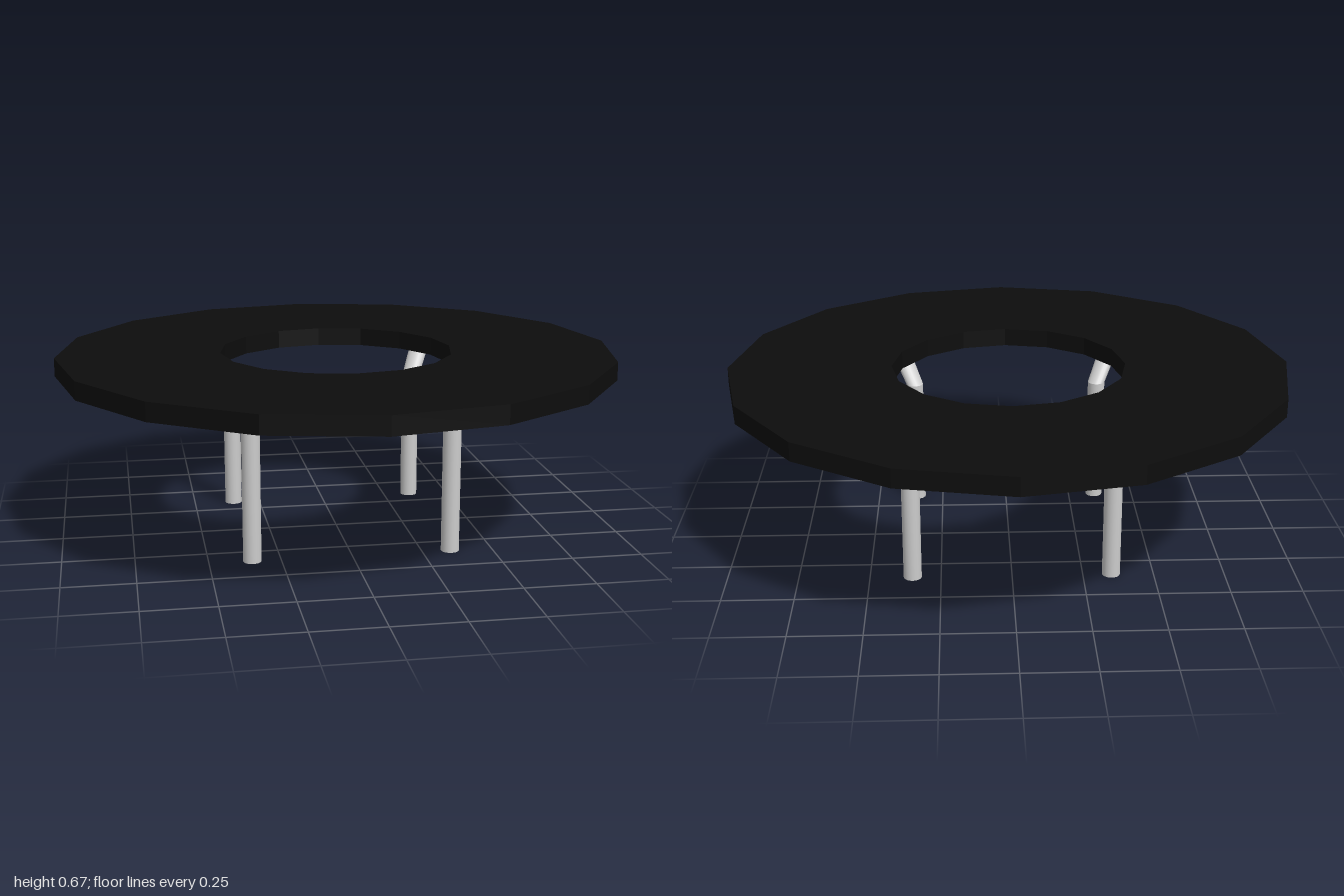
import * as THREE from 'three';

const SIDES = 20;
const BEND_Y = 0.472, RING_BOTTOM = 0.6, RING_TOP = 0.665;

export function createModel() {
  const model = new THREE.Group();
  model.name = 'ringTable';
  const metal = new THREE.MeshStandardMaterial({ color: 0xcccccc });
  const black = new THREE.MeshStandardMaterial({ color: 0x0d0d0d, flatShading: true });

  // Sixteen-sided ring top with a square section
  const profile = [
    [0.418, RING_BOTTOM], [1, RING_BOTTOM], [1, RING_TOP],
    [0.418, RING_TOP], [0.418, RING_BOTTOM],
  ].map(([r, y]) => new THREE.Vector2(r, y));
  const ring = new THREE.Mesh(new THREE.LatheGeometry(profile, 16), black);
  ring.name = 'ringTop';
  model.add(ring);

  // Four bent legs: an upright post and a strut leaning outward to the ring
  const strutHeight = RING_BOTTOM + 0.01 - BEND_Y;
  for (const sx of [-1, 1]) {
    for (const sz of [-1, 1]) {
      const leg = new THREE.Group();
      leg.name = (sz > 0 ? 'front' : 'back') + (sx > 0 ? 'Left' : 'Right') + 'Leg';
      leg.position.set(sx * 0.35, 0, sz * 0.346);

      const post = new THREE.Mesh(
        new THREE.CylinderGeometry(0.032, 0.032, BEND_Y, SIDES).translate(0, BEND_Y / 2, 0), metal);
      post.name = 'post';

      // The strut is sheared so its lower end matches the top of the post
      const lean = new THREE.Matrix4().set(
        1, sx * 0.52, 0, 0,
        0, 1, 0, 0,
        0, sz * 0.87, 1, 0,
        0, 0, 0, 1);
      const strut = new THREE.Mesh(
        new THREE.CylinderGeometry(0.038, 0.032, strutHeight, SIDES)
          .translate(0, strutHeight / 2, 0).applyMatrix4(lean), metal);
      strut.name = 'strut';
      strut.position.y = BEND_Y;

      leg.add(post, strut);
      model.add(leg);
    }
  }
  return model;
}
